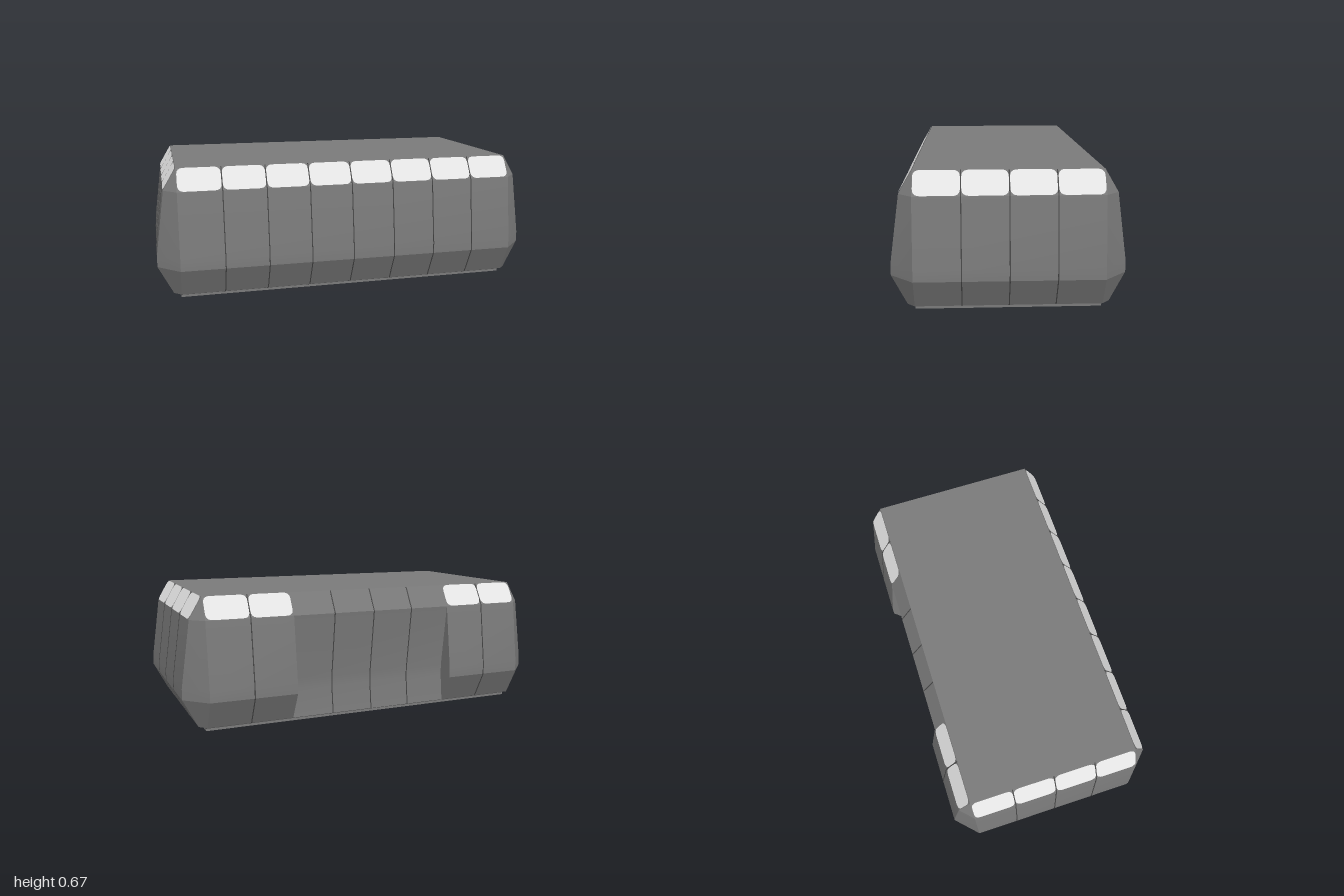
import * as THREE from 'three';
import { toCreasedNormals } from 'three/addons/utils/BufferGeometryUtils.js';

const HX = 0.89, HZ = 0.445, H = 0.67, CELL = 0.2225;
// wall profiles as [distance out from the core, height], top to bottom
const OUTER = [[0, H], [0.065, 0.56], [0.111, 0.225], [0.111, 0.17], [0.036, 0.026], [0.015, 0.026], [0, 0.012]];
const INNER = [[0, H], [0.065, 0.56], [0.02, 0.225], [0.02, 0.17], [0.036, 0.026], [0.015, 0.026], [0, 0.012]];

const bodyMat = new THREE.MeshStandardMaterial({ color: 0x7a7a7a });
bodyMat.name = 'body grey';
const windowMat = new THREE.MeshStandardMaterial({ color: 0xf2f2f2 });
windowMat.name = 'window white';
const seamMat = new THREE.MeshStandardMaterial({ color: 0x484848 });
seamMat.name = 'seam grey';

function addMesh(parent, name, geometry, material) {
  const mesh = new THREE.Mesh(geometry, material);
  mesh.name = name;
  parent.add(mesh);
  return mesh;
}

// prism with the wall profile, centred on local z = 0
function profilePrism(profile, length, grow = 0) {
  const pts = profile.map(([o, y]) => new THREE.Vector2(o + grow, y));
  if (grow) pts.push(new THREE.Vector2(0, 0.012), new THREE.Vector2(0, H));
  const geo = new THREE.ExtrudeGeometry(new THREE.Shape(pts), { depth: length, bevelEnabled: false });
  geo.translate(0, 0, -length / 2);
  return toCreasedNormals(geo, 0.26);
}

// rounded pane lying on the sloped top band
function paneGeometry() {
  const w = CELL / 2 - 0.003, h = Math.hypot(0.065, 0.11) / 2 - 0.001, r = 0.035;
  const s = new THREE.Shape();
  s.moveTo(-w + r, -h);
  s.lineTo(w - r, -h);
  s.quadraticCurveTo(w, -h, w, -h + r);
  s.lineTo(w, h - r);
  s.quadraticCurveTo(w, h, w - r, h);
  s.lineTo(-w + r, h);
  s.quadraticCurveTo(-w, h, -w, h - r);
  s.lineTo(-w, -h + r);
  s.quadraticCurveTo(-w, -h, -w + r, -h);
  const up = new THREE.Vector3(-0.065, 0.11, 0).normalize();
  const out = new THREE.Vector3(0.11, 0.065, 0).normalize();
  const along = new THREE.Vector3(0, 0, -1);
  const m = new THREE.Matrix4().makeBasis(along, up, out);
  m.setPosition(0.0325 + out.x * 0.003, 0.615 + out.y * 0.003, 0);
  return new THREE.ShapeGeometry(s, 6).applyMatrix4(m);
}

// a run of wall cells: local +x faces outward, local z runs along the wall
function wallRun(name, cells, profile, hasWindows) {
  const run = new THREE.Group();
  run.name = name;
  const length = cells * CELL;
  addMesh(run, name + 'Panel', profilePrism(profile, length), bodyMat);
  for (let i = 0; i < cells; i++) {
    const start = -length / 2 + i * CELL;
    if (hasWindows) addMesh(run, 'window', paneGeometry(), windowMat).position.z = start + CELL / 2;
    if (i > 0) addMesh(run, 'seam', profilePrism(profile, 0.005, 0.002), seamMat).position.z = start;
  }
  return run;
}

// chamfered corner joining two neighbouring walls
function cornerGeometry(sx, sz) {
  const pos = [];
  const a = ([o, y]) => [sx * (HX + o), y, sz * HZ];
  const b = ([o, y]) => [sx * HX, y, sz * (HZ + o)];
  const tri = (p, q, r) => pos.push(...p, ...(sx * sz > 0 ? [...q, ...r] : [...r, ...q]));
  for (let i = 0; i < OUTER.length - 1; i++) {
    const t = OUTER[i], u = OUTER[i + 1];
    if (t[0] > 0) tri(a(t), b(t), b(u));
    if (u[0] > 0) tri(a(t), b(u), a(u));
  }
  const geo = new THREE.BufferGeometry();
  geo.setAttribute('position', new THREE.Float32BufferAttribute(pos, 3));
  geo.computeVertexNormals();
  return toCreasedNormals(geo, 0.26);
}

export function createModel() {
  const model = new THREE.Group();
  model.name = 'building';

  // central block with the flat roof and base
  addMesh(model, 'core', new THREE.BoxGeometry(2 * HX, H, 2 * HZ), bodyMat).position.y = H / 2;

  const place = (run, x, z, angle) => {
    run.position.set(x, 0, z);
    run.rotation.y = angle;
    model.add(run);
  };
  place(wallRun('frontWall', 8, OUTER, true), 0, HZ, -Math.PI / 2);
  place(wallRun('leftWall', 4, OUTER, true), HX, 0, 0);
  place(wallRun('rightWall', 4, OUTER, true), -HX, 0, Math.PI);

  // back: two full wings around a recessed centre
  place(wallRun('backLeftWall', 2, OUTER, true), 3 * CELL, -HZ, Math.PI / 2);
  place(wallRun('backRightWall', 2, OUTER, true), -3 * CELL, -HZ, Math.PI / 2);
  place(wallRun('backRecess', 4, INNER, false), 0, -HZ, Math.PI / 2);

  for (const sx of [-1, 1]) {
    for (const sz of [-1, 1]) addMesh(model, 'corner', cornerGeometry(sx, sz), bodyMat);
  }
  return model;
}
